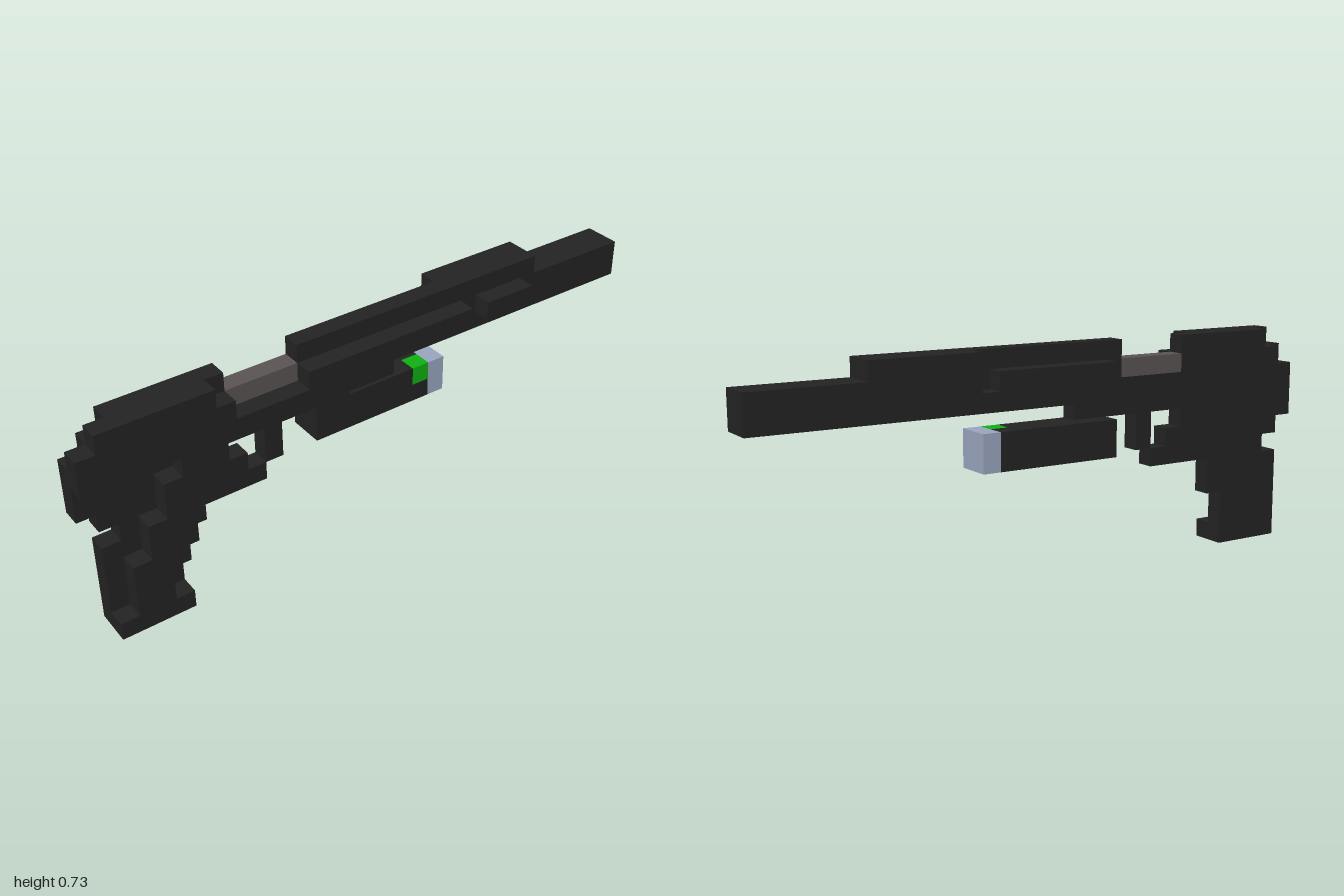
import * as THREE from 'three';
import { mergeGeometries } from 'three/addons/utils/BufferGeometryUtils.js';

const U = 2 / 33; // edge of one block

const paint = (name, color) => {
  const m = new THREE.MeshStandardMaterial({ color });
  m.name = name;
  return m;
};

// Box in block units: x column range, y row range, z range counted back from the front
function block([x0, x1, y0, y1, k0, k1]) {
  const g = new THREE.BoxGeometry((x1 - x0) * U, (y1 - y0) * U, (k1 - k0) * U);
  g.translate(((x0 + x1) / 2 - 1.5) * U, ((y0 + y1) / 2) * U, 1 - ((k0 + k1) / 2) * U);
  return g;
}

export function createModel() {
  const group = new THREE.Group();
  group.name = 'blockRifle';
  const black = paint('black', 0x232323);
  const steel = paint('warm grey', 0x5a5353);
  const blue = paint('blue grey', 0x9aa5bf);
  const green = paint('green', 0x10b012);

  const part = (name, material, ...boxes) => {
    const mesh = new THREE.Mesh(mergeGeometries(boxes.map(block)), material);
    mesh.name = name;
    group.add(mesh);
  };

  // Rear housing, stepped at the butt end
  part('receiver', black,
    [1, 2, 11, 12, 2, 8], [2, 3, 11, 12, 1, 7],
    [1, 2, 10, 11, 1, 8], [2, 3, 10, 11, 0, 8],
    [1, 2, 9, 10, 0, 13], [2, 3, 9, 10, 0, 17],
    [1, 2, 8, 9, 0, 15], [1, 2, 7, 8, 0, 8], [1, 2, 6, 7, 1, 9]);
  part('ejectionPort', steel, [1, 2, 10, 11, 8, 12]);

  // Long barrel with its raised top rib
  part('barrel', black, [0, 2, 9, 10, 13, 33], [1, 2, 10, 11, 12, 33],
    [0, 1, 10, 11, 13, 20], [0, 1, 10, 11, 21, 33]);
  part('topRib', black, [1, 2, 11, 12, 12, 27], [0, 1, 11, 12, 21, 27]);
  part('sideRail', black, [2, 3, 10, 11, 12, 22], [2, 3, 10, 11, 23, 26]);

  // Grip core and the stepped cheek on its left
  part('grip', black, [1, 2, 5, 6, 2, 7], [1, 2, 3, 5, 1, 6], [1, 2, 0, 3, 1, 5]);
  part('gripCheek', black,
    [2, 3, 8, 9, 5, 7], [2, 3, 6, 8, 4, 7], [2, 3, 5, 6, 3, 6], [2, 3, 4, 5, 3, 5],
    [2, 3, 3, 4, 2, 5], [2, 3, 1, 3, 2, 4], [2, 3, 0, 1, 1, 5]);

  part('triggerGuard', black, [1, 2, 5, 6, 7, 10]);
  part('trigger', black, [1, 2, 6, 8, 10, 11]);

  // Under-barrel light
  part('lightBody', black, [0, 2, 6, 8, 13, 19], [0, 2, 6, 7, 19, 20], [0, 1, 7, 8, 19, 20]);
  part('lightSwitch', green, [1, 2, 7, 8, 19, 20]);
  part('lightLens', blue, [0, 2, 6, 8, 20, 21]);

  return group;
}
